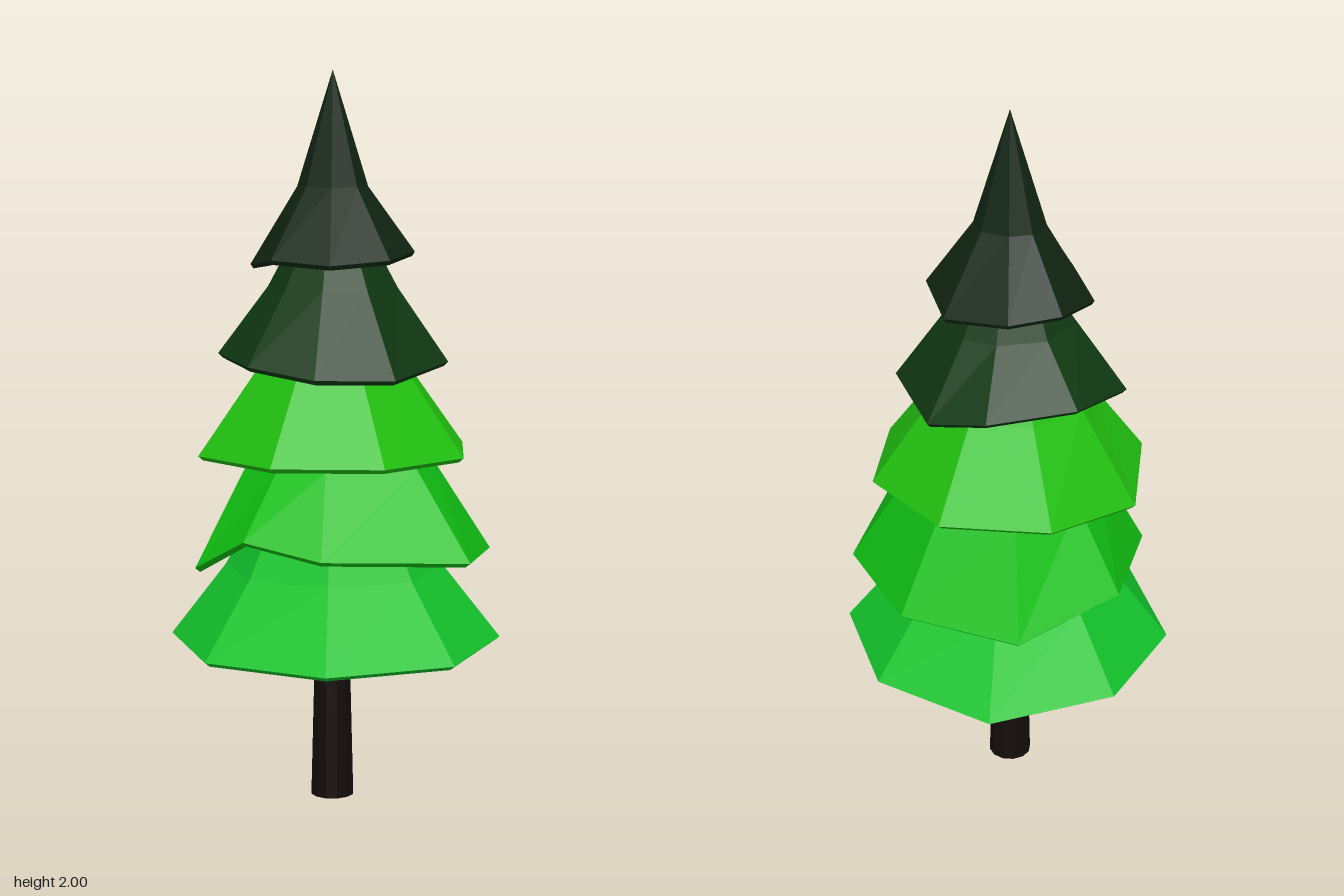
import * as THREE from 'three';

// Axis shared by the trunk and all foliage tiers
const CX = -0.012, CZ = 0.002;

// Each tier: uneven eight-cornered rim [x, y, z], a shoulder ring (scaled rim) and a tip
const TIERS = [
  { name: 'foliageBottom', color: 0x13c42b, shoulder: 0.66, shoulderY: 0.65, tipY: 1.2,
    rim: [[-0.02, 0.455, -0.465], [0.31, 0.45, -0.33], [0.46, 0.45, 0], [0.32, 0.45, 0.33],
      [-0.01, 0.45, 0.46], [-0.34, 0.45, 0.31], [-0.47, 0.45, 0], [-0.34, 0.435, -0.33]] },
  { name: 'foliageLower', color: 0x10bf13, shoulder: 0.62, shoulderY: 0.95, tipY: 1.4,
    rim: [[-0.08, 0.685, -0.425], [0.25, 0.69, -0.35], [0.47, 0.72, -0.045], [0.27, 0.74, 0.3],
      [0.065, 0.775, 0.39], [-0.16, 0.67, 0.37], [-0.41, 0.725, 0.06], [-0.365, 0.67, -0.25]] },
  { name: 'foliageMiddle', color: 0x21bf10, shoulder: 0.57, shoulderY: 1.2, tipY: 1.55,
    rim: [[-0.155, 0.975, -0.35], [0.14, 0.975, -0.35], [0.35, 0.975, -0.14], [0.35, 0.975, 0.15],
      [0.14, 0.975, 0.36], [-0.155, 0.975, 0.36], [-0.365, 0.95, 0.15], [-0.365, 0.975, -0.14]] },
  { name: 'foliageUpper', color: 0x103812, shoulder: 0.56, shoulderY: 1.42, tipY: 1.75,
    rim: [[-0.06, 1.225, -0.31], [0.23, 1.22, -0.2], [0.305, 1.195, 0.07], [0.19, 1.2, 0.25],
      [0.005, 1.225, 0.32], [-0.25, 1.235, 0.21], [-0.32, 1.275, -0.02], [-0.21, 1.26, -0.235]] },
  { name: 'foliageTop', color: 0x102412, shoulder: 0.43, shoulderY: 1.69, tipY: 2,
    rim: [[-0.01, 1.48, -0.215], [0.145, 1.515, -0.155], [0.21, 1.5, 0], [0.15, 1.49, 0.16],
      [-0.01, 1.5, 0.225], [-0.17, 1.48, 0.16], [-0.23, 1.505, 0], [-0.17, 1.495, -0.13]] },
];

// Scale a rim towards the axis; y comes from a rule on the rim height
function ring(rim, scale, height) {
  return rim.map(([x, y, z]) => [CX + (x - CX) * scale, height(y), CZ + (z - CZ) * scale]);
}

// Hollow faceted skirt: outer skin, thin lip, inner skin
function tierGeometry({ rim, shoulder, shoulderY, tipY }) {
  const rings = [
    ring(rim, 0, () => tipY),
    ring(rim, shoulder, () => shoulderY),
    rim,
    ring(rim, 0.965, (y) => y - 0.012),
    ring(rim, shoulder * 0.93, () => shoulderY - 0.02),
    ring(rim, 0, () => tipY - 0.06),
  ];
  const positions = [];
  const n = rim.length, last = rings.length - 2;
  for (let k = 0; k <= last; k++) {
    const up = rings[k], low = rings[k + 1];
    for (let i = 0; i < n; i++) {
      const j = (i + 1) % n;
      if (k < last) positions.push(...low[j], ...low[i], ...up[i]);
      if (k > 0) positions.push(...low[j], ...up[i], ...up[j]);
    }
  }
  const geometry = new THREE.BufferGeometry();
  geometry.setAttribute('position', new THREE.Float32BufferAttribute(positions, 3));
  geometry.computeVertexNormals();
  return geometry;
}

export function createModel() {
  const model = new THREE.Group();
  model.name = 'pineTree';

  // Tapered trunk, running up inside the foliage
  const trunkHeight = 0.9;
  const trunk = new THREE.Mesh(
    new THREE.CylinderGeometry(0.037, 0.06, trunkHeight, 12),
    new THREE.MeshStandardMaterial({ color: 0x130d0c, flatShading: true })
  );
  trunk.name = 'trunk';
  trunk.position.set(-0.009, trunkHeight / 2, 0.007);
  model.add(trunk);

  // Stacked foliage tiers
  for (const tier of TIERS) {
    const mesh = new THREE.Mesh(
      tierGeometry(tier),
      new THREE.MeshStandardMaterial({ color: tier.color, flatShading: true })
    );
    mesh.name = tier.name;
    model.add(mesh);
  }
  return model;
}
